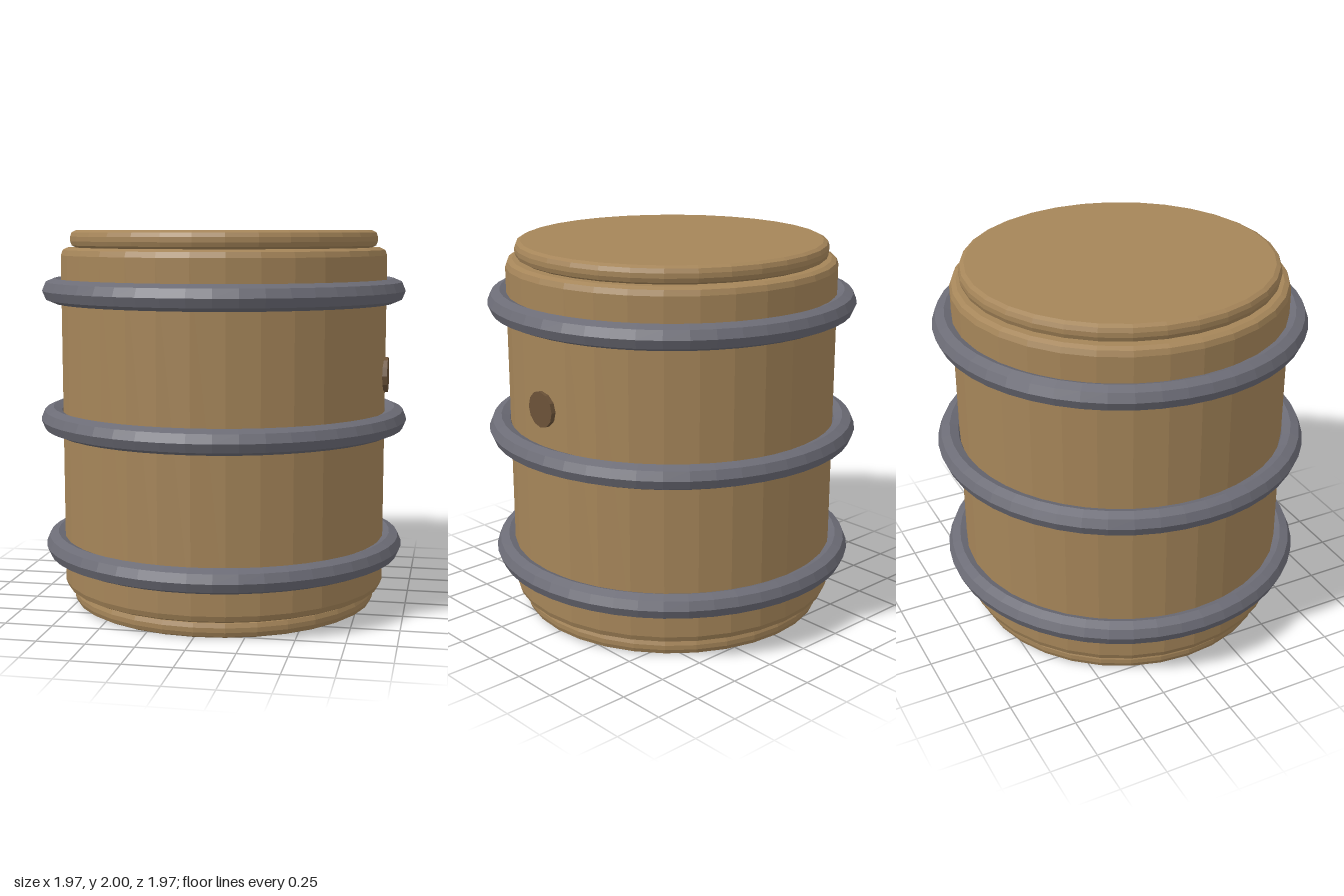
import * as THREE from 'three';

const SIDES = 32;

function material(color) {
  return new THREE.MeshStandardMaterial({ color, flatShading: true });
}

function part(name, geometry, mat, parent) {
  const mesh = new THREE.Mesh(geometry, mat);
  mesh.name = name;
  parent.add(mesh);
  return mesh;
}

// Turned solid; profile is [radius, height] from bottom to top
function turned(profile) {
  return new THREE.LatheGeometry(profile.map(([r, y]) => new THREE.Vector2(r, y)), SIDES);
}

export function createModel() {
  const barrel = new THREE.Group();
  barrel.name = 'barrel';
  const wood = material(0xa58559);
  const metal = material(0x6c6c76);
  const darkWood = material(0x6b5238);

  // Straight-sided body with eased edges
  part('body', turned([
    [0, 0.09], [0.835, 0.09], [0.86, 0.102], [0.87, 0.13],
    [0.87, 1.87], [0.86, 1.898], [0.835, 1.91], [0, 1.91],
  ]), wood, barrel);

  // Bevelled lids at both ends
  for (const [name, y] of [['bottomLid', 0.045], ['topLid', 1.955]]) {
    const lid = part(name, turned([
      [0, -0.045], [0.79, -0.045], [0.812, -0.034], [0.82, -0.012],
      [0.82, 0.012], [0.812, 0.034], [0.79, 0.045], [0, 0.045],
    ]), wood, barrel);
    lid.position.y = y;
  }

  // Hoops, the middle one slightly wider
  const hoops = [['lowerHoop', 0.32, 0.905], ['middleHoop', 1.003, 0.92], ['upperHoop', 1.685, 0.905]];
  for (const [name, y, radius] of hoops) {
    const geometry = new THREE.TorusGeometry(radius, 0.065, 8, 48);
    geometry.rotateX(Math.PI / 2);
    part(name, geometry, metal, barrel).position.y = y;
  }

  // Bung plug on the left side
  const plug = new THREE.CylinderGeometry(0.093, 0.093, 0.06, 12);
  plug.rotateZ(-Math.PI / 2);
  part('bung', plug, darkWood, barrel).position.set(0.856, 1.242, 0);

  return barrel;
}
